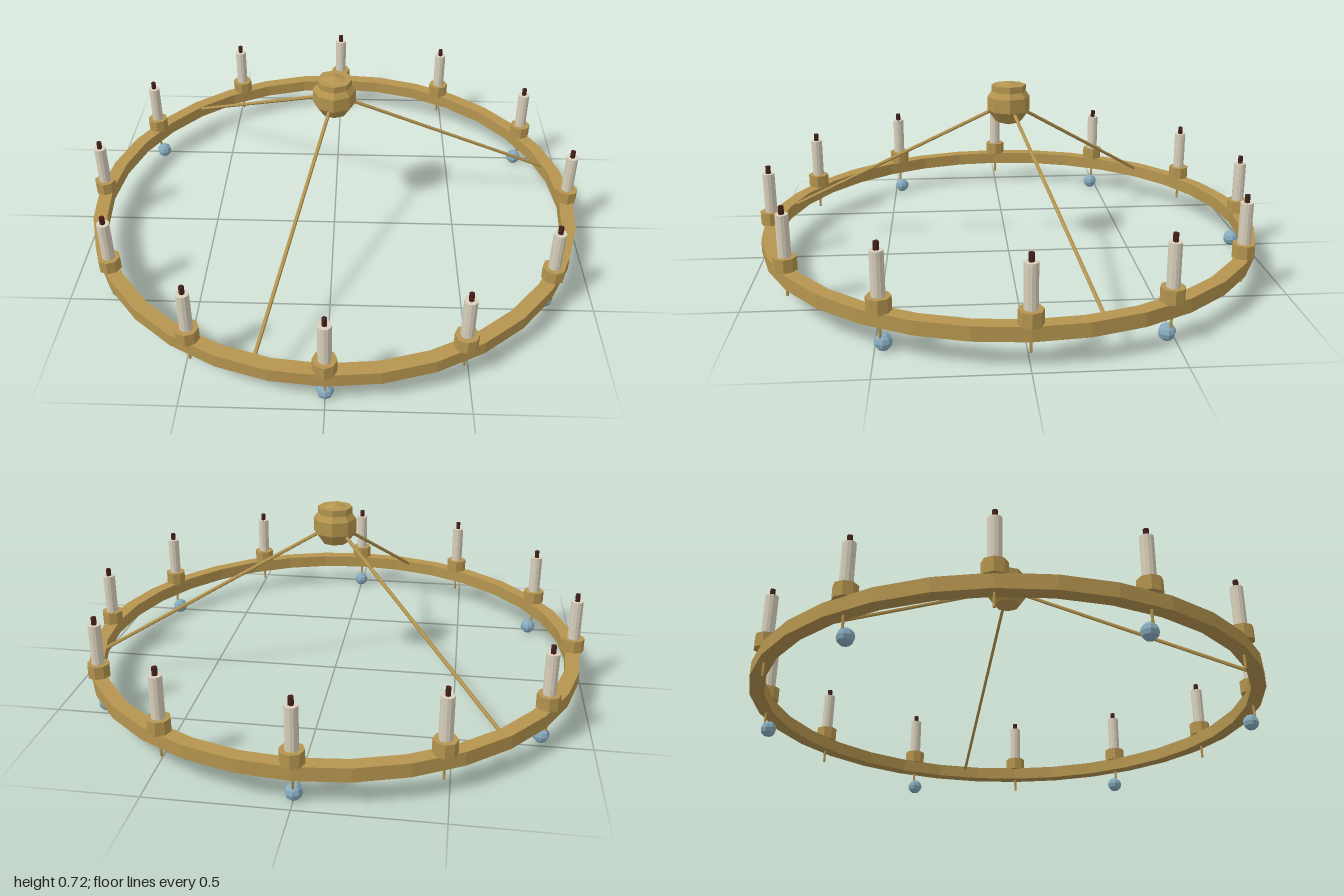
import * as THREE from 'three';

export function createModel() {
  const mat = (name, color) => {
    const m = new THREE.MeshStandardMaterial({ color, flatShading: true });
    m.name = name;
    return m;
  };
  const brass = mat('brass', 0xb5954f);
  const wax = mat('wax', 0xd9d0bc);
  const wickDark = mat('wick', 0x45201c);
  const glass = mat('glass', 0x86abbe);

  const root = new THREE.Group();
  root.name = 'chandelier';

  const add = (parent, name, geometry, material, x = 0, y = 0, z = 0) => {
    const mesh = new THREE.Mesh(geometry, material);
    mesh.name = name;
    mesh.position.set(x, y, z);
    parent.add(mesh);
    return mesh;
  };

  // Flat hoop with a rectangular section
  const section = [[0.93, 0.1], [0.985, 0.1], [0.985, 0.152], [0.93, 0.152], [0.93, 0.1]]
    .map(([r, y]) => new THREE.Vector2(r, y));
  add(root, 'hoop', new THREE.LatheGeometry(section, 32), brass);

  // Hub: faceted ball with a collar round its top
  add(root, 'hubBall', new THREE.SphereGeometry(0.088, 8, 5), brass, 0, 0.631, 0);
  add(root, 'hubCollar', new THREE.CylinderGeometry(0.068, 0.068, 0.05, 8), brass, 0, 0.68, 0);

  // Three stay rods from the hub down to the hoop
  const up = new THREE.Vector3(0, 1, 0);
  for (let i = 0; i < 3; i++) {
    const a = THREE.MathUtils.degToRad(-15 + i * 120);
    const from = new THREE.Vector3(0, 0.635, 0);
    const to = new THREE.Vector3(0.935 * Math.cos(a), 0.14, 0.935 * Math.sin(a));
    const dir = to.clone().sub(from);
    const rod = add(root, 'stayRod', new THREE.CylinderGeometry(0.007, 0.007, dir.length(), 6), brass);
    rod.position.copy(from).addScaledVector(dir, 0.5);
    rod.quaternion.setFromUnitVectors(up, dir.normalize());
  }

  // Twelve candles, with a glass drop under every second one
  const cup = new THREE.CylinderGeometry(0.043, 0.043, 0.052, 8);
  const candle = new THREE.CylinderGeometry(0.024, 0.024, 0.165, 12);
  const wick = new THREE.CylinderGeometry(0.01, 0.01, 0.04, 6);
  const pin = new THREE.CylinderGeometry(0.005, 0.005, 0.11, 6);
  const drop = new THREE.SphereGeometry(0.031, 8, 6);
  for (let i = 0; i < 12; i++) {
    const a = (i * Math.PI) / 6;
    const light = new THREE.Group();
    light.name = 'candleLight';
    light.position.set(0.957 * Math.cos(a), 0, 0.957 * Math.sin(a));
    add(light, 'cup', cup, brass, 0, 0.176, 0);
    add(light, 'candle', candle, wax, 0, 0.2775, 0);
    add(light, 'wick', wick, wickDark, 0, 0.37, 0);
    add(light, 'pin', pin, brass, 0, 0.105, 0);
    root.add(light);
    if (i % 2 === 1) {
      add(root, 'glassDrop', drop, glass, 0.94 * Math.cos(a), 0.031, 0.94 * Math.sin(a));
    }
  }
  return root;
}
